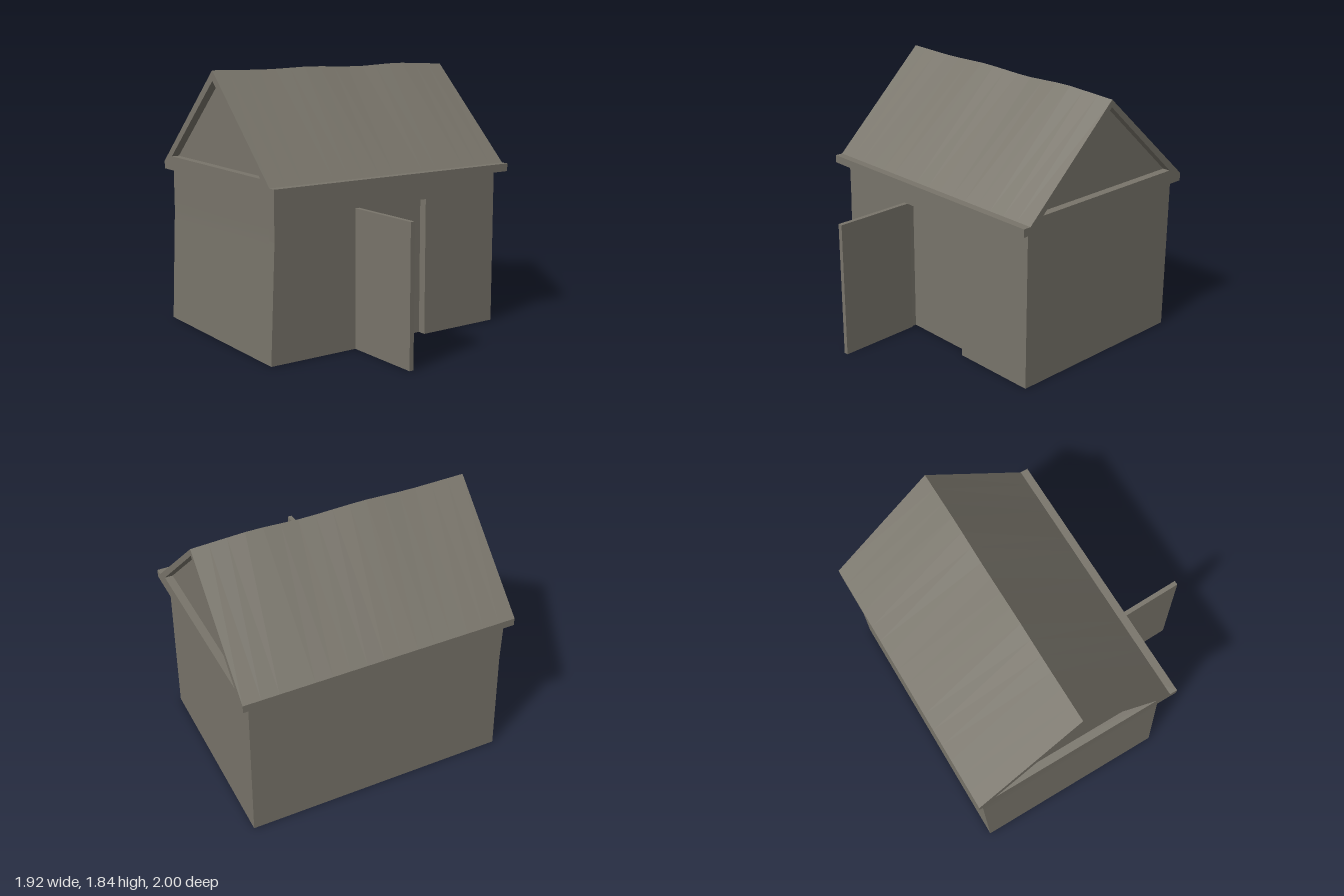
import * as THREE from 'three';

const stone = new THREE.MeshStandardMaterial({ color: 0x78746a });
stone.name = 'warm grey';

function add(parent, name, geometry) {
  const mesh = new THREE.Mesh(geometry, stone);
  mesh.name = name;
  parent.add(mesh);
  return mesh;
}

const polygon = (points) => new THREE.Shape(points.map(([x, y]) => new THREE.Vector2(x, y)));

// Extrude a (-z, y) profile along x, centred on x = 0
function alongX(shape, length, steps = 1) {
  const g = new THREE.ExtrudeGeometry(shape, { depth: length, steps, bevelEnabled: false });
  g.translate(0, 0, -length / 2);
  g.rotateY(Math.PI / 2);
  return g;
}

// Move every vertex by a rule, then refresh the normals
function warp(g, rule) {
  const p = g.attributes.position;
  const v = new THREE.Vector3();
  for (let i = 0; i < p.count; i++) {
    v.fromBufferAttribute(p, i);
    rule(v);
    p.setXYZ(i, v.x, v.y, v.z);
  }
  g.computeVertexNormals();
  return g;
}

// The right-hand wall splays out toward the ground
const splay = (v) => {
  if (v.x < -0.9 && v.y < 0.8) v.x -= 0.035 * (1 - v.y / 0.8);
};

// Hand-built sag along the ridge
const ridge = [[-0.96, 1.84], [-0.55, 1.83], [-0.2, 1.84], [0.2, 1.825], [0.55, 1.84], [0.96, 1.82]];
function ridgeHeight(x) {
  for (let i = 1; i < ridge.length; i++) {
    const [x0, y0] = ridge[i - 1];
    const [x1, y1] = ridge[i];
    if (x <= x1) return THREE.MathUtils.mapLinear(Math.max(x, x0), x0, x1, y0, y1);
  }
  return ridge[ridge.length - 1][1];
}

export function createModel() {
  const house = new THREE.Group();
  house.name = 'house';

  // Main body behind the doorway
  const body = new THREE.BoxGeometry(1.82, 1.1, 1.33, 1, 11, 1);
  body.translate(0, 0.55, -0.295);
  add(house, 'walls', warp(body, splay));

  // Front wall with the doorway notch
  const front = new THREE.ExtrudeGeometry(polygon([
    [-0.91, 0], [-0.27, 0], [-0.27, 0.955], [0.295, 0.955], [0.295, 0],
    [0.91, 0], [0.91, 1.1], [-0.91, 1.1], [-0.91, 0.8],
  ]), { depth: 0.06, bevelEnabled: false });
  front.translate(0, 0, 0.37);
  add(house, 'frontWall', warp(front, splay));

  // Open door, hinged at its inner end
  const doorGeometry = new THREE.BoxGeometry(0.032, 0.955, 0.59);
  doorGeometry.translate(0, 0.4775, 0.295);
  const door = add(house, 'door', doorGeometry);
  door.position.set(-0.277, 0, 0.41);
  door.rotation.y = 0.025;

  // Eaves slab, deeper at the front
  const eaves = new THREE.BoxGeometry(1.92, 0.055, 1.515);
  eaves.translate(0, 1.1275, -0.2425);
  add(house, 'eaves', eaves);

  // Pitched roof shell with open gable frames
  const roofShape = polygon([[-0.46, 1.155], [1, 1.155], [0.25, 1.84]]);
  const inner = [[-0.35, 1.2], [0.88, 1.2], [0.25, 1.77]];
  roofShape.holes.push(polygon(inner));
  add(house, 'roof', warp(alongX(roofShape, 1.92, 16), (v) => {
    if (v.y > 1.8) v.y = ridgeHeight(v.x);
  }));

  // Gable walls set back inside the frames
  add(house, 'gables', alongX(polygon(inner), 1.81));

  return house;
}
